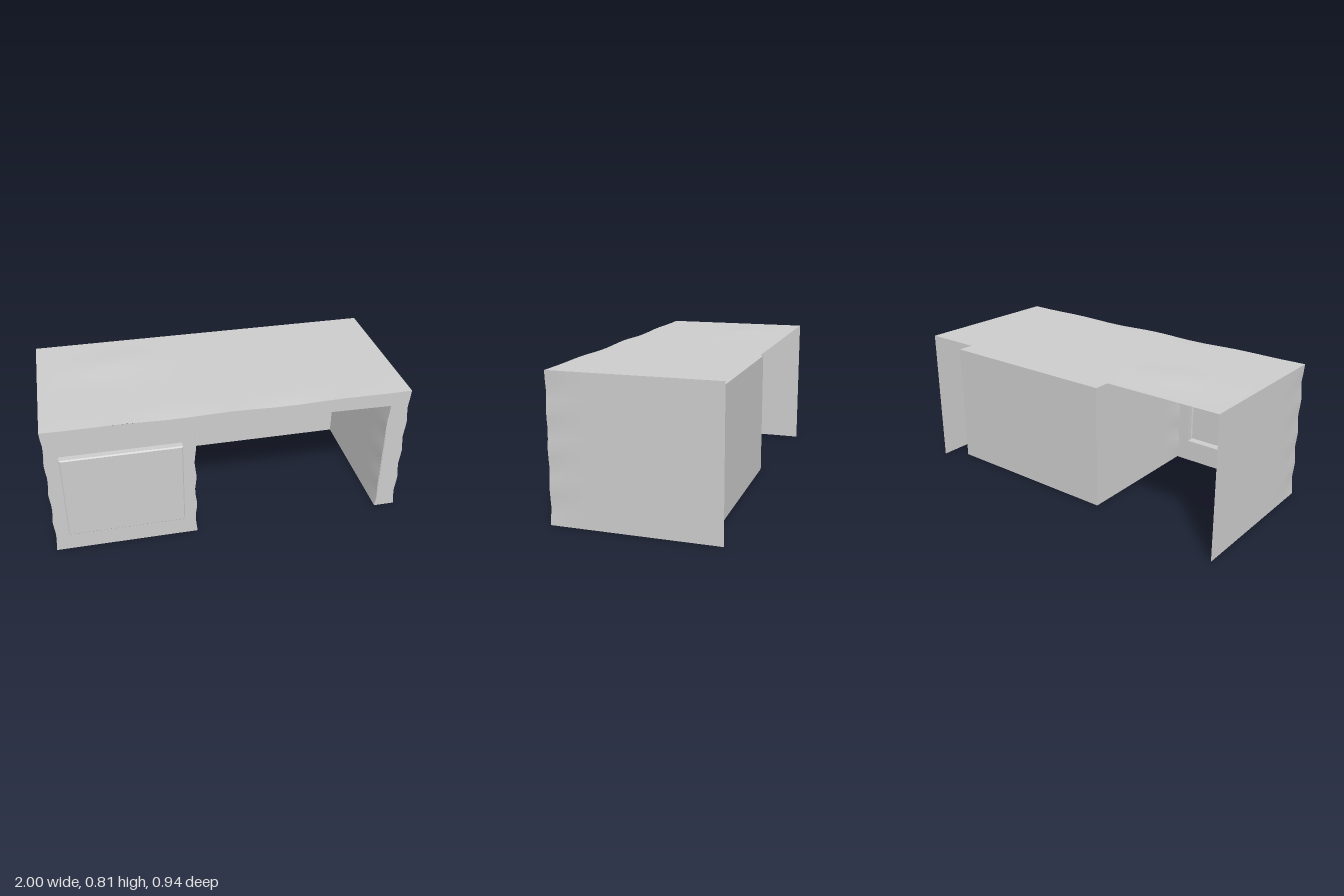
import * as THREE from 'three';

const H = 0.795, BACK = -0.47, FRONT = 0.43;
const KNEE = { left: -0.2, right: 0.88, top: 0.71, back: -0.385 };
const DRAWER = { x0: -0.92, x1: -0.275, y0: 0.13, y1: 0.635, z: 0.468 };

const material = new THREE.MeshStandardMaterial({ color: 0xcccccc, side: THREE.DoubleSide });
const near = (a, b) => Math.abs(a - b) < 1e-4;

// Slight wear along the front edges and a shallow swell in the worktop
function wear(geometry) {
  const p = geometry.attributes.position;
  for (let i = 0; i < p.count; i++) {
    let x = p.getX(i), y = p.getY(i), z = p.getZ(i);
    const atFront = near(z, FRONT);
    const dent = Math.sin(y * 16) ** 2 * 0.01;
    if (near(y, H)) {
      if (atFront) y -= 0.008 * Math.sin(x * 5) ** 2 * (1 - x * x);
      else y += 0.015 * Math.max(0, 1 - Math.abs(x + 0.58) / 0.36) * Math.max(0, 1 - Math.abs(z + 0.19) / 0.19);
    } else if (atFront) {
      if (near(Math.abs(x), 1)) x -= Math.sign(x) * dent;
      else if (near(x, KNEE.right)) x += dent;
      else if (near(x, KNEE.left)) x -= dent;
      else if (near(y, KNEE.top)) y += 0.007 * Math.sin((x - KNEE.left) * 2.9);
    }
    p.setXYZ(i, x, y, z);
  }
  geometry.computeVertexNormals();
  return geometry;
}

function mesh(name, geometry) {
  const m = new THREE.Mesh(geometry, material);
  m.name = name;
  return m;
}

// Flat subdivided sheet: corner o plus edge vectors u and v, facing u x v
function sheet(name, o, u, v, nu = 1, nv = 1) {
  const g = new THREE.PlaneGeometry(1, 1, nu, nv);
  g.translate(0.5, 0.5, 0);
  const U = new THREE.Vector3(...u), V = new THREE.Vector3(...v);
  g.applyMatrix4(new THREE.Matrix4().makeBasis(U, V, U.clone().cross(V).normalize()).setPosition(...o));
  return mesh(name, wear(g));
}

// Front frame with the knee opening and the drawer hole
function frontFrame() {
  const corners = [
    [-1, 0], [KNEE.left, 0], [KNEE.left, KNEE.top], [KNEE.right, KNEE.top],
    [KNEE.right, 0], [1, 0], [1, H], [-1, H],
  ];
  const points = [];
  corners.forEach((a, i) => {
    const b = corners[(i + 1) % corners.length];
    for (let k = 0; k < 16; k++) {
      points.push(new THREE.Vector2(...a).lerp(new THREE.Vector2(...b), k / 16));
    }
  });
  const shape = new THREE.Shape(points);
  const { x0, x1, y0, y1 } = DRAWER;
  shape.holes.push(new THREE.Path([[x0, y0], [x0, y1], [x1, y1], [x1, y0]].map(p => new THREE.Vector2(...p))));
  const g = new THREE.ShapeGeometry(shape);
  g.translate(0, 0, FRONT);
  return mesh('frontFrame', wear(g));
}

// Hollow drawer front: face, narrow bevel and rim, open at the back
function drawerFront() {
  const group = new THREE.Group();
  group.name = 'drawerFront';
  const { x0, x1, y0, y1, z } = DRAWER, b = 0.006;
  const ring = (inset, depth) => [
    [x0 + inset, y0 + inset, depth], [x1 - inset, y0 + inset, depth],
    [x1 - inset, y1 - inset, depth], [x0 + inset, y1 - inset, depth],
  ];
  const rings = [ring(0, FRONT), ring(0, z - b), ring(b, z)];
  const quad = (name, a, c, d, e) => {
    const g = new THREE.BufferGeometry();
    g.setAttribute('position', new THREE.Float32BufferAttribute([...a, ...c, ...d, ...a, ...d, ...e], 3));
    g.computeVertexNormals();
    group.add(mesh(name, g));
  };
  for (let r = 0; r < 2; r++) {
    for (let i = 0; i < 4; i++) {
      const j = (i + 1) % 4;
      quad(r ? 'drawerBevel' : 'drawerRim', rings[r][i], rings[r][j], rings[r + 1][j], rings[r + 1][i]);
    }
  }
  quad('drawerFace', ...rings[2]);
  return group;
}

export function createModel() {
  const model = new THREE.Group();
  model.name = 'desk';
  const depth = FRONT - BACK, kneeDepth = FRONT - KNEE.back, kneeWidth = KNEE.right - KNEE.left;

  // Outer shell, open at the back and underneath
  model.add(
    sheet('worktop', [-1, H, FRONT], [2, 0, 0], [0, 0, -depth], 32, 14),
    sheet('leftSide', [1, 0, FRONT], [0, 0, -depth], [0, H, 0], 8, 16),
    sheet('rightSide', [-1, 0, BACK], [0, 0, depth], [0, H, 0], 8, 16),
    frontFrame(),
  );

  // Knee space: two walls, back panel and ceiling
  model.add(
    sheet('pedestalWall', [KNEE.left, 0, FRONT], [0, 0, -kneeDepth], [0, KNEE.top, 0], 8, 16),
    sheet('kneeOuterWall', [KNEE.right, 0, KNEE.back], [0, 0, kneeDepth], [0, KNEE.top, 0], 8, 16),
    sheet('kneeBackPanel', [KNEE.left, 0, KNEE.back], [kneeWidth, 0, 0], [0, KNEE.top, 0]),
    sheet('kneeCeiling', [KNEE.left, KNEE.top, KNEE.back], [kneeWidth, 0, 0], [0, 0, kneeDepth], 16, 8),
  );

  model.add(drawerFront());
  return model;
}
